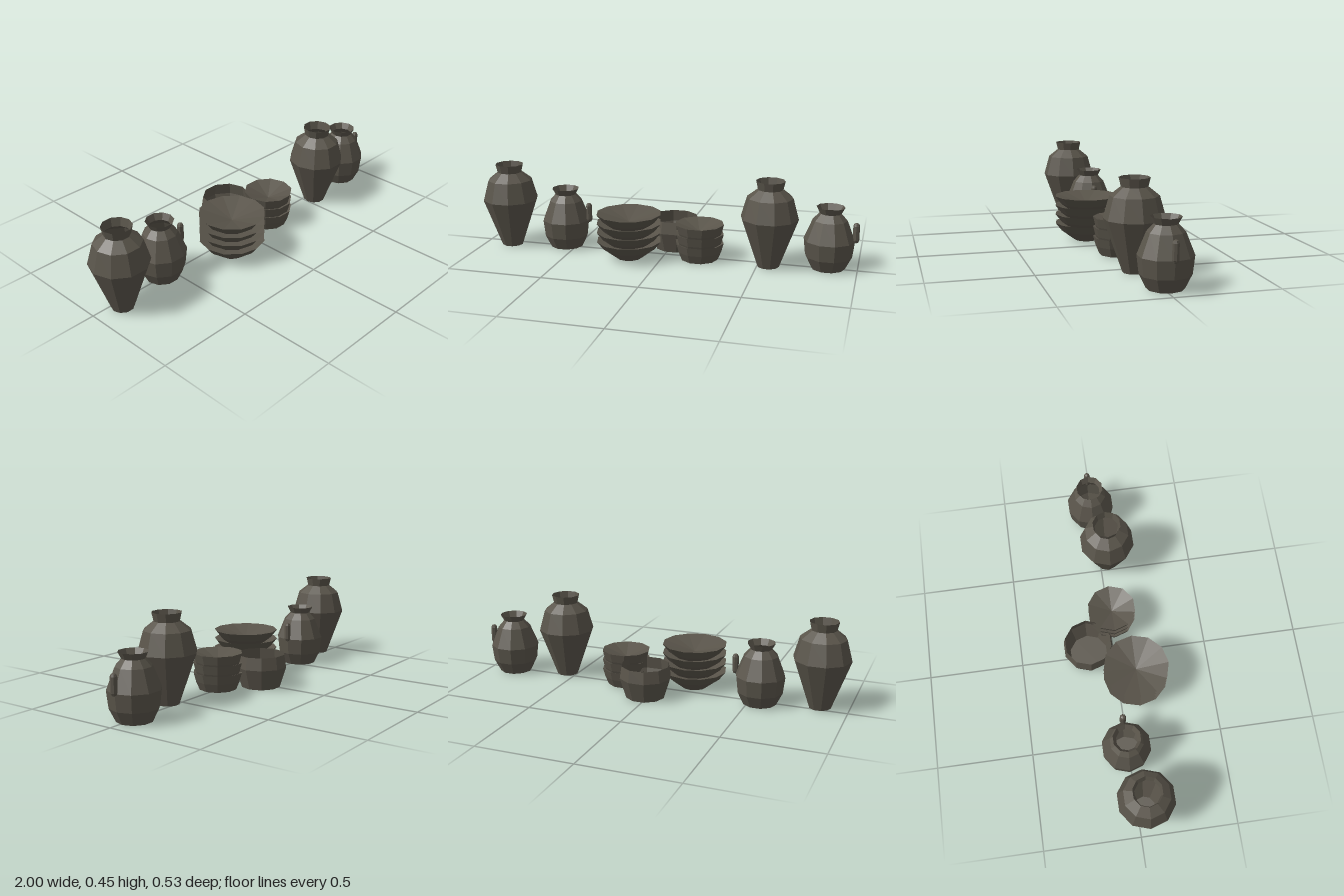
import * as THREE from 'three';

// Faceted clay: one colour, open vessels need both sides
const clay = new THREE.MeshStandardMaterial({ color: 0x59544a, flatShading: true, side: THREE.DoubleSide });
clay.name = 'dark clay';

// Vessel turned from [radius, height] pairs, with a corner on the x axis
function turned(name, profile, sides) {
  const points = profile.map(([r, y]) => new THREE.Vector2(r, y));
  const mesh = new THREE.Mesh(new THREE.LatheGeometry(points, sides, Math.PI / 2), clay);
  mesh.name = name;
  return mesh;
}

const amphoraProfile = [[0, 0], [0.056, 0], [0.147, 0.256], [0.117, 0.363], [0.064, 0.405], [0.074, 0.448]];
const jugProfile = [[0, 0], [0.086, 0], [0.118, 0.065], [0.128, 0.15], [0.0865, 0.254], [0.0545, 0.289], [0.0715, 0.321]];
const potProfile = [[0, 0], [0.102, 0], [0.135, 0.107], [0.125, 0.171]];
const bowlProfile = [[0, 0], [0.065, 0], [0.137, 0.054], [0.17, 0.096], [0, 0.05]];
const cupProfile = [[0, 0], [0.097, 0], [0.116, 0.045], [0.128, 0.09], [0, 0.045]];

// Jug with an upright grip on its +x side
function makeJug() {
  const jug = new THREE.Group();
  jug.name = 'jug';
  const handle = new THREE.Mesh(new THREE.CapsuleGeometry(0.0165, 0.074, 2, 8), clay);
  handle.name = 'jugHandle';
  handle.position.set(0.131, 0.194, 0);
  jug.add(turned('jugBody', jugProfile, 10), handle);
  return jug;
}

// Nested vessels, each raised by the same step
function makeStack(name, part, profile, sides, count, step) {
  const stack = new THREE.Group();
  stack.name = name;
  for (let i = 0; i < count; i++) {
    const vessel = turned(part, profile, sides);
    vessel.position.y = i * step;
    stack.add(vessel);
  }
  return stack;
}

export function createModel() {
  const model = new THREE.Group();
  model.name = 'pottery';
  const place = (part, x, z) => {
    part.position.set(x, 0, z);
    model.add(part);
  };

  // Amphora and jug pair at each end
  for (const shift of [0, 1.408]) {
    place(turned('amphora', amphoraProfile, 10), -0.853 + shift, 0.04);
    place(makeJug(), -0.556 + shift, -0.0135);
  }

  // Middle group
  place(makeStack('bowlStack', 'bowl', bowlProfile, 12, 4, 0.0483), -0.169, 0.093);
  place(makeStack('cupStack', 'cup', cupProfile, 10, 3, 0.05), 0.19, 0.015);
  place(turned('pot', potProfile, 10), 0.02, -0.134);
  return model;
}
